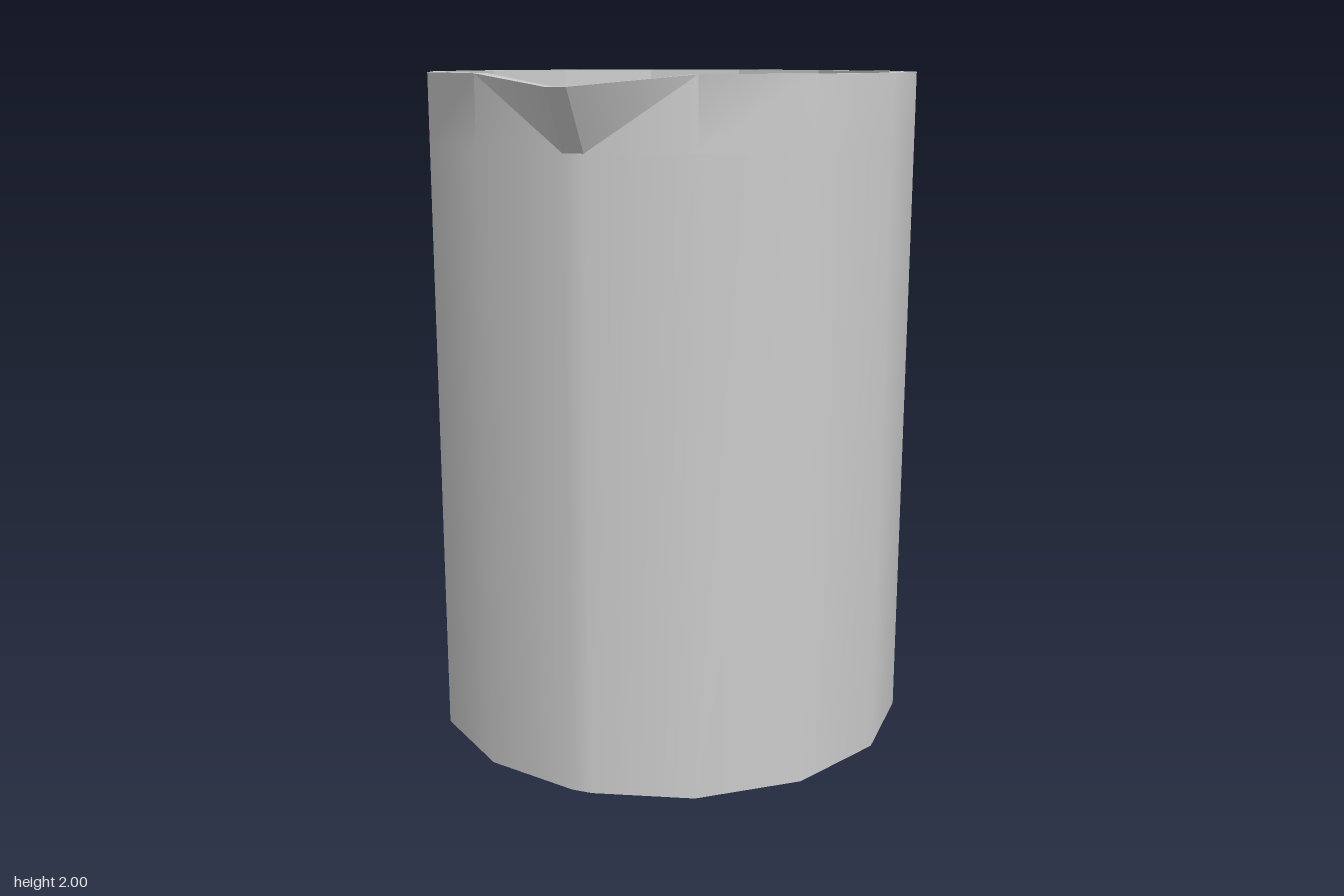
import * as THREE from 'three';
import { toCreasedNormals } from 'three/addons/utils/BufferGeometryUtils.js';

const SIDES = 14, CENTRE_Z = -0.055, HEIGHT = 2, SPOUT_BASE = 1.8, LIP_Y = 1.97;
const OUTER = 0.73, INNER = 0.685, FLOOR_Y = 0.045;

// One level of the cup: a 14-sided ring whose front corner is split in two.
// push moves the split front corner forward to form the pouring lip.
function ring(radius, y, frontY = y, push = 0) {
  const points = [];
  for (let i = 0; i <= SIDES; i++) {
    const front = i === 0 || i === SIDES;
    const a = (i / SIDES) * Math.PI * 2;
    const x = front ? (i === 0 ? 0.03 : -0.03) : radius * Math.sin(a);
    points.push([x, front ? frontY : y, CENTRE_Z + radius * Math.cos(a) + (front ? push : 0)]);
  }
  return points;
}

// Joins successive rings with faces; inward reverses them.
function skin(rings, inward, crease) {
  const pos = [];
  const tri = (a, b, c) => pos.push(...a, ...(inward ? c : b), ...(inward ? b : c));
  for (let r = 0; r < rings.length - 1; r++) {
    const lo = rings[r], hi = rings[r + 1];
    for (let i = 0; i < lo.length; i++) {
      const j = (i + 1) % lo.length;
      if (i === SIDES - 1) { // mirrored diagonal keeps the spout symmetrical
        tri(lo[i], lo[j], hi[i]);
        tri(lo[j], hi[j], hi[i]);
      } else {
        tri(lo[i], lo[j], hi[j]);
        tri(lo[i], hi[j], hi[i]);
      }
    }
  }
  return finish(pos, crease);
}

// Flat polygon filling a ring.
function disc(points, up) {
  const pos = [];
  for (let i = 1; i < points.length - 1; i++) {
    const [b, c] = up ? [points[i], points[i + 1]] : [points[i + 1], points[i]];
    pos.push(...points[0], ...b, ...c);
  }
  return finish(pos, 0.1);
}

function finish(pos, crease) {
  const geometry = new THREE.BufferGeometry();
  geometry.setAttribute('position', new THREE.Float32BufferAttribute(pos, 3));
  geometry.computeVertexNormals();
  return toCreasedNormals(geometry, crease);
}

export function createModel() {
  const group = new THREE.Group();
  group.name = 'beaker';
  const material = new THREE.MeshStandardMaterial({ color: 0xcccccc });
  const add = (name, geometry) => {
    const mesh = new THREE.Mesh(geometry, material);
    mesh.name = name;
    group.add(mesh);
  };

  const outerRim = ring(OUTER, HEIGHT, LIP_Y, 0.105);
  const innerRim = ring(INNER, HEIGHT, LIP_Y, 0.105);
  const outerBase = ring(OUTER, 0);
  const innerBase = ring(INNER, FLOOR_Y);

  // Smooth outside wall with the pouring spout
  add('outerWall', skin([outerBase, ring(OUTER, SPOUT_BASE), outerRim], false, 0.5));
  // Faceted inside wall, following the spout
  add('innerWall', skin([innerBase, ring(INNER, SPOUT_BASE), innerRim], true, 0.3));
  // Narrow top edge dipping at the lip
  add('rim', skin([outerRim, innerRim], false, 0.3));
  add('insideFloor', disc(innerBase, true));
  add('base', disc(outerBase, false));
  return group;
}
